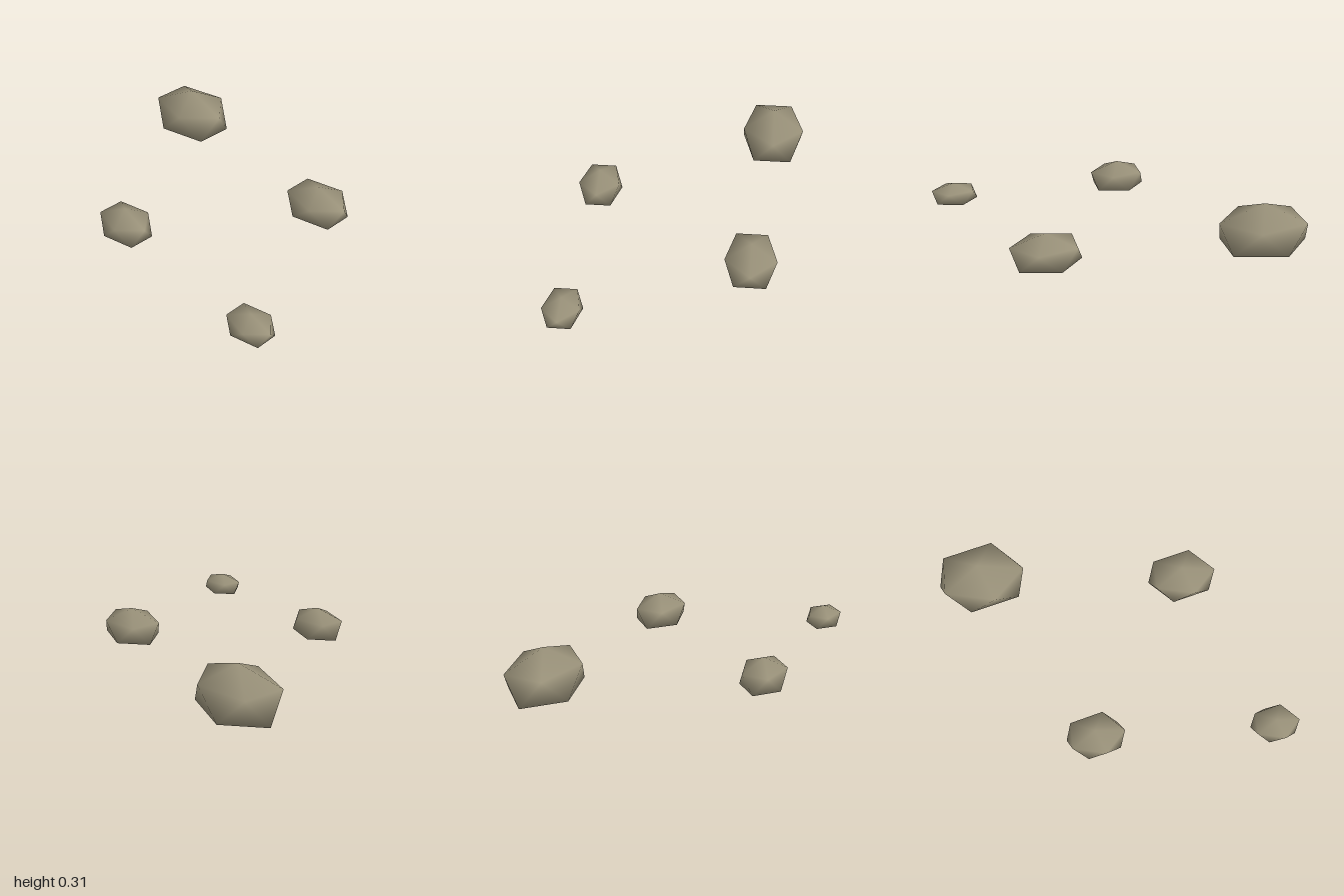
import * as THREE from 'three';

// Twenty-sided boulder: two staggered rings of five corners between two poles
function rockGeometry(rx, rz, height) {
  const pos = [0, 0, 0];
  const rings = [{ y: 0.2, turn: Math.PI / 5 }, { y: 0.695, turn: 0 }];
  for (const { y, turn } of rings) {
    for (let i = 0; i < 5; i++) {
      const a = turn + (i * Math.PI * 2) / 5;
      pos.push(Math.cos(a) * rx, y * height, Math.sin(a) * rz);
    }
  }
  pos.push(0, height, 0);

  const index = [];
  for (let i = 0; i < 5; i++) {
    const j = (i + 1) % 5;
    const lo = 1 + i, lo2 = 1 + j, up = 6 + i, up2 = 6 + j;
    index.push(0, lo, lo2); // underside
    index.push(lo, up, up2, lo, up2, lo2); // sides
    index.push(11, up2, up); // crown
  }
  const geo = new THREE.BufferGeometry();
  geo.setAttribute('position', new THREE.Float32BufferAttribute(pos, 3));
  geo.setIndex(index);
  geo.computeVertexNormals(); // smooth shading
  return geo;
}

export function createModel() {
  const group = new THREE.Group();
  group.name = 'rocks';
  const stone = new THREE.MeshStandardMaterial({ color: 0x9a927a });
  stone.name = 'stone';

  // Name, centre x, centre z, half width, half depth, height
  const rocks = [
    ['largeRock', -0.742, -0.487, 0.258, 0.195, 0.305],
    ['mediumRock', 0.451, -0.384, 0.197, 0.149, 0.213],
    ['smallRock', -0.163, 0.537, 0.167, 0.126, 0.198],
    ['pebble', 0.863, 0.573, 0.137, 0.104, 0.137],
  ];
  for (const [name, x, z, rx, rz, h] of rocks) {
    const rock = new THREE.Mesh(rockGeometry(rx, rz, h), stone);
    rock.name = name;
    rock.position.set(x, 0, z);
    group.add(rock);
  }
  return group;
}
